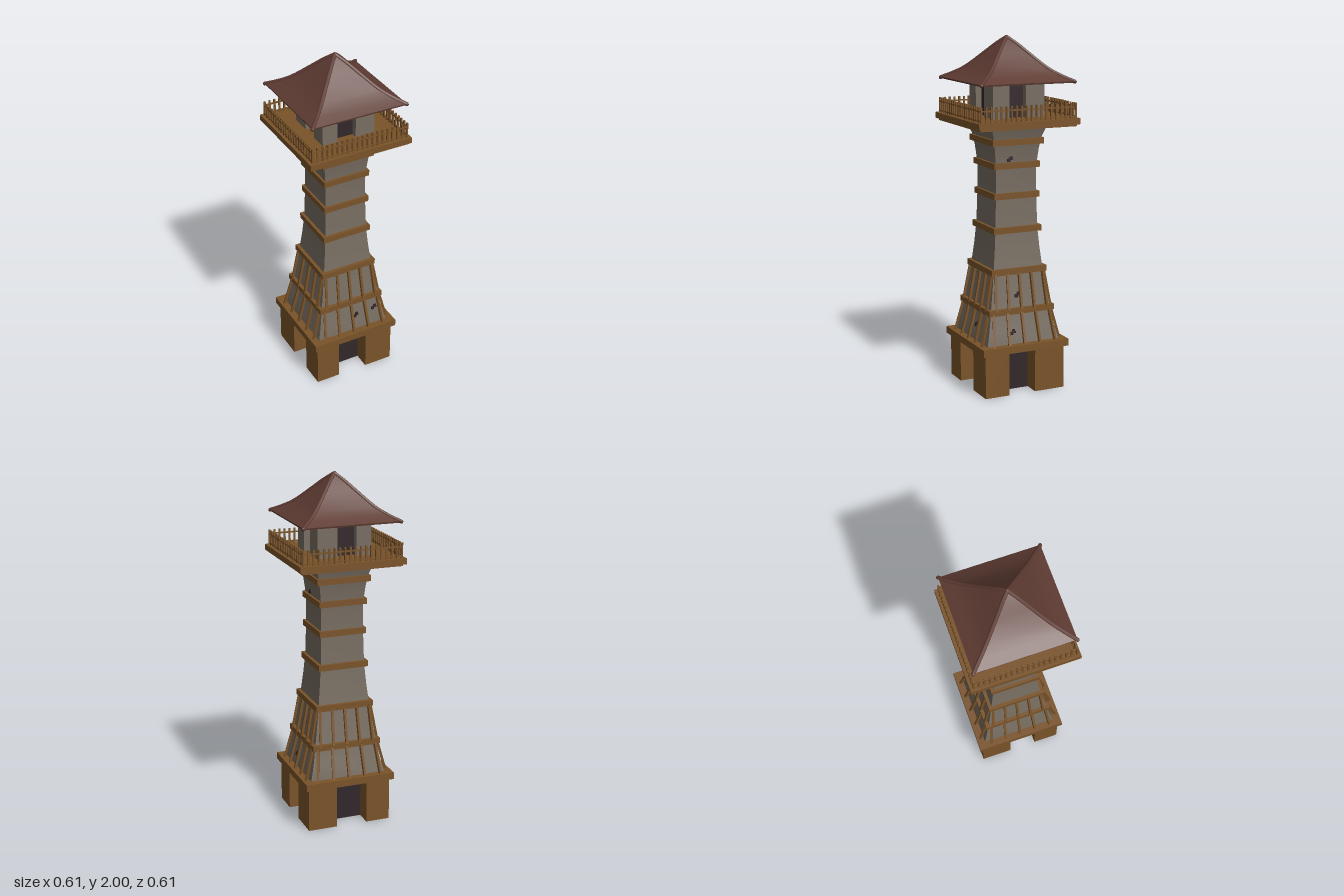
import * as THREE from 'three';
import { toCreasedNormals } from 'three/addons/utils/BufferGeometryUtils.js';

const material = (name, color, side = THREE.FrontSide) => {
  const m = new THREE.MeshStandardMaterial({ color, side });
  m.name = name;
  return m;
};

export function createModel() {
  const model = new THREE.Group();
  model.name = 'watchtower';
  const wood = material('wood', 0x7a5329);
  const plaster = material('plaster', 0x776d61);
  const roofRed = material('roofRed', 0x5f3c33, THREE.DoubleSide);
  const dark = material('darkOpening', 0x32272a, THREE.DoubleSide);

  const add = (parent, name, geo, mat) => {
    const mesh = new THREE.Mesh(geo, mat);
    mesh.name = name;
    parent.add(mesh);
    return mesh;
  };
  const group = (name, parent = model) => {
    const g = new THREE.Group();
    g.name = name;
    parent.add(g);
    return g;
  };
  // Box given by its min and max corners
  const block = (parent, name, mat, [x0, y0, z0], [x1, y1, z1]) => {
    const mesh = add(parent, name, new THREE.BoxGeometry(x1 - x0, y1 - y0, z1 - z0), mat);
    mesh.position.set((x0 + x1) / 2, (y0 + y1) / 2, (z0 + z1) / 2);
    return mesh;
  };
  const slab = (parent, name, mat, half, y0, y1) =>
    block(parent, name, mat, [-half, y0, -half], [half, y1, half]);
  // Square loft through [half width, height] pairs
  const squareLoft = (profile) => {
    const pts = profile.map(([h, y]) => new THREE.Vector2(h * Math.SQRT2, y));
    return toCreasedNormals(new THREE.LatheGeometry(pts, 4, Math.PI / 4), 0.5);
  };
  // Square bar between two points
  const bar = (parent, name, mat, a, b, w) => {
    const p = new THREE.Vector3(...a), q = new THREE.Vector3(...b);
    const mesh = add(parent, name, new THREE.BoxGeometry(w, w, p.distanceTo(q)), mat);
    mesh.position.copy(p).add(q).multiplyScalar(0.5);
    mesh.lookAt(q);
    return mesh;
  };
  // Four copies of a part, one for each side
  const fourSides = (name, build) => {
    for (let i = 0; i < 4; i++) {
      const g = group(name);
      build(g);
      g.rotation.y = i * Math.PI / 2;
    }
  };
  // Corner piers with recessed dark panels between them
  const piers = (name, mat, half, xs, zs, y0, y1, recess) => {
    const g = group(name);
    for (const [x0, x1] of [[-half, xs[0]], [xs[1], half]])
      for (const [z0, z1] of [[-half, zs[0]], [zs[1], half]])
        block(g, 'cornerPier', mat, [x0, y0, z0], [x1, y1, z1]);
    const d = half - recess, t = 0.004;
    for (const s of [-d, d]) {
      block(g, 'doorPanel', dark, [xs[0], y0, s - t], [xs[1], y1, s + t]);
      block(g, 'doorPanel', dark, [s - t, y0, zs[0]], [s + t, y1, zs[1]]);
    }
  };

  // Base
  piers('base', wood, 0.245, [-0.105, 0.075], [-0.063, 0.097], 0, 0.25, 0.1);
  slab(model, 'baseBeam', wood, 0.265, 0.25, 0.29);

  // Tapered tower body
  const profile = [[0.225, 0.245], [0.222, 0.29], [0.2, 0.38], [0.184, 0.48], [0.165, 0.6], [0.152, 0.7],
    [0.139, 0.82], [0.13, 0.93], [0.125, 1.11], [0.124, 1.28], [0.135, 1.38], [0.145, 1.44], [0.172, 1.52]];
  add(model, 'towerBody', squareLoft([[0, 0.245], ...profile]), plaster);
  const bodyHalf = (y) => {
    const i = profile.findIndex((p) => p[1] >= y);
    const [a, b] = [profile[i - 1], profile[i]];
    return a[0] + (b[0] - a[0]) * (y - a[1]) / (b[1] - a[1]);
  };

  // Timber bands
  for (const [half, y] of [[0.202, 0.473], [0.17, 0.695], [0.147, 0.927], [0.138, 1.12], [0.14, 1.29], [0.157, 1.423]])
    slab(model, 'timberBand', wood, half, y - 0.017, y + 0.017);

  // Leaning slats in two tiers
  fourSides('slats', (g) => {
    for (const [y0, y1, d0, d1, s0, s1] of [[0.285, 0.465, 0.242, 0.196, 0.19, 0.172], [0.48, 0.69, 0.2, 0.162, 0.158, 0.146]])
      for (let i = -2; i <= 2; i++)
        bar(g, 'slat', wood, [s0 * i / 2, y0, d0], [s1 * i / 2, y1, d1], 0.014);
  });

  // Small chipped spots in the plaster: [side turn, offset, height]
  for (const [turn, u, y] of [[0, 0.152, 0.388], [0, 0.03, 0.375], [1, 0.06, 0.355], [1, 0.015, 0.56], [1, 0.04, 1.325]]) {
    const g = group('plasterChip');
    g.rotation.y = turn * Math.PI / 2;
    const side = turn ? -u : u;
    for (const [dx, dy, w] of [[0, 0, 0.035], [0.006, 0.011, 0.018], [-0.008, -0.01, 0.018]])
      add(g, 'chip', new THREE.BoxGeometry(w, 0.009, 0.008), dark)
        .position.set(side + dx, y + dy, bodyHalf(y + dy));
  }

  // Lookout deck
  slab(model, 'deckUnderside', wood, 0.29, 1.51, 1.525);
  slab(model, 'deck', wood, 0.305, 1.522, 1.555);

  // Railing
  fourSides('railing', (g) => {
    const r = 0.284, n = 19;
    for (let i = 0; i < n; i++) {
      const x = -r + 2 * r * i / n;
      bar(g, 'railPost', wood, [x, 1.55, r], [x, 1.64, r], 0.01);
    }
    for (const y of [1.566, 1.618])
      bar(g, 'rail', wood, [-r, y, r], [r, y, r], 0.008);
  });

  // Cabin
  piers('cabin', plaster, 0.157, [-0.069, 0.042], [-0.042, 0.058], 1.555, 1.775, 0.04);

  // Flared hip roof with ridge poles
  const slope = [[0.28, 1.757], [0.23, 1.783], [0.175, 1.82], [0.09, 1.905], [0.045, 1.952], [0, 1.992]];
  add(model, 'roof', squareLoft([[0, 1.775], [0.15, 1.768], [0.278, 1.748], ...slope]), roofRed);
  for (const [sx, sz] of [[1, 1], [1, -1], [-1, 1], [-1, -1]]) {
    const curve = new THREE.CatmullRomCurve3(slope.map(([h, y]) => new THREE.Vector3(sx * h, y - 0.003, sz * h)));
    add(model, 'roofRidge', new THREE.TubeGeometry(curve, 16, 0.011, 8), roofRed);
    add(model, 'ridgeEnd', new THREE.SphereGeometry(0.011, 8, 6), roofRed).position.set(sx * 0.28, 1.754, sz * 0.28);
  }
  add(model, 'roofTip', new THREE.SphereGeometry(0.012, 8, 6), roofRed).position.y = 1.988;
  return model;
}
